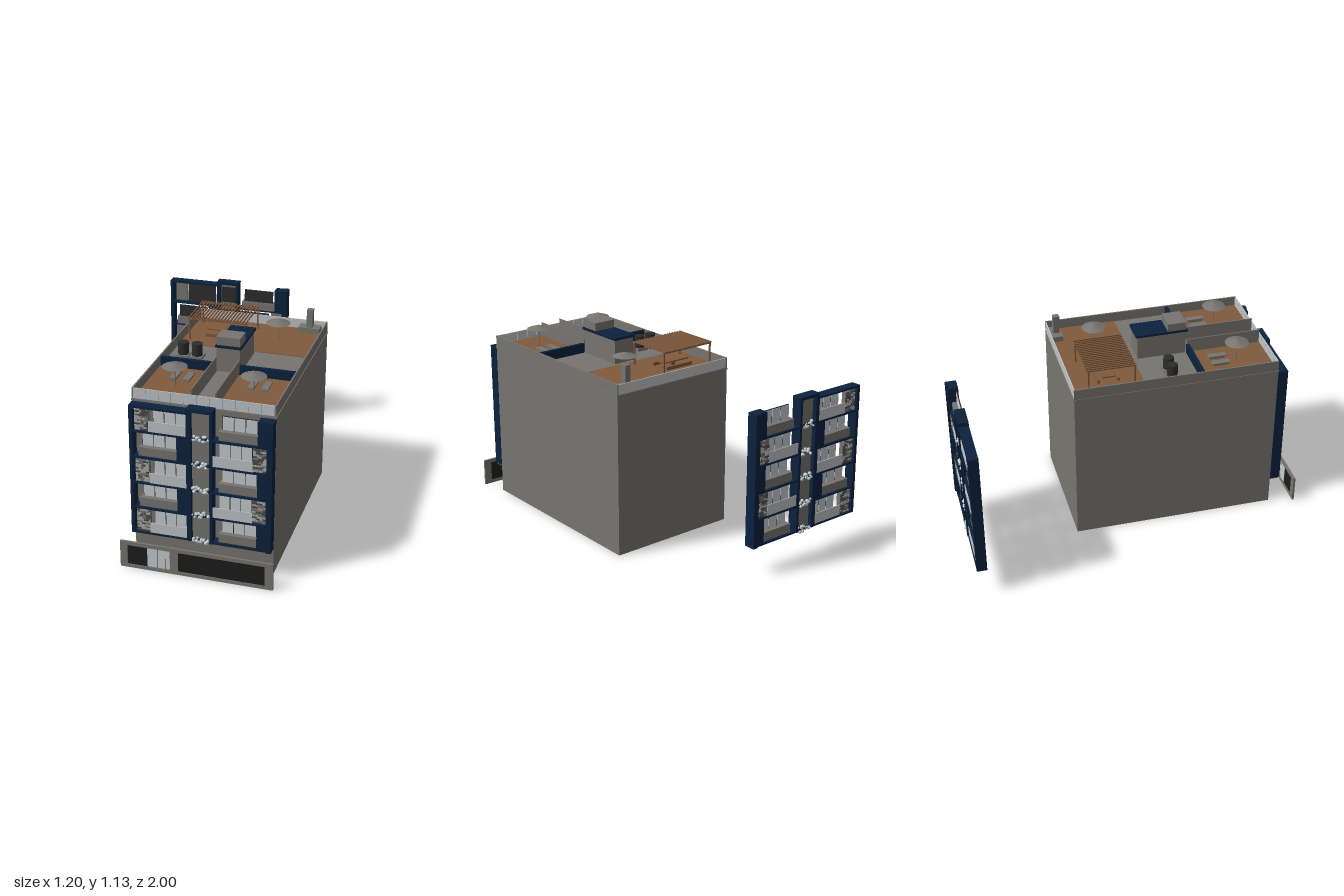
import * as THREE from 'three';

const mat = (name, color, extra = {}) => {
  const m = new THREE.MeshStandardMaterial({ color, ...extra });
  m.name = name;
  return m;
};

export function createModel() {
  const wall = mat('warm grey render', 0x777570);
  const navy = mat('navy frame', 0x0b213d);
  const deck = mat('timber brown', 0x805a3c);
  const pale = mat('pale railing glass', 0xbfc3c6);
  const glass = mat('window glass', 0xc6ccd0);
  const dark = mat('dark window frame', 0x2d2d2d);
  const slat = mat('black slats', 0x1a1a1a);
  const stoneLight = mat('light stone', 0xa3a3a1);
  const stoneDark = mat('dark stone', 0x484846);
  const leaf = mat('white blossom', 0xc2cccf);

  const model = new THREE.Group();
  model.name = 'apartmentBuilding';
  const group = (name, parent = model) => {
    const g = new THREE.Group();
    g.name = name;
    parent.add(g);
    return g;
  };
  const add = (parent, name, geo, m, x, y, z) => {
    const mesh = new THREE.Mesh(geo, m);
    mesh.name = name;
    mesh.position.set(x, y, z);
    parent.add(mesh);
    return mesh;
  };
  // box given by its limits on each axis
  const box = (parent, name, m, x0, x1, y0, y1, z0, z1) =>
    add(parent, name, new THREE.BoxGeometry(x1 - x0, y1 - y0, Math.abs(z1 - z0)), m,
      (x0 + x1) / 2, (y0 + y1) / 2, (z0 + z1) / 2);
  let seed = 7;
  const rnd = () => (seed = (seed * 16807) % 2147483647) / 2147483647;

  // ---- main block and parapet
  const body = group('body');
  box(body, 'block', wall, -0.21, 0.563, 0, 0.935, -0.34, 0.848);
  box(body, 'cornice', wall, -0.213, 0.567, 0.924, 0.932, -0.342, 0.851);
  for (const x of [-0.21, 0.555]) box(body, 'sideParapet', wall, x, x + 0.008, 0.935, 0.994, -0.34, 0.848);
  box(body, 'backParapet', pale, -0.202, 0.555, 0.935, 0.992, -0.34, -0.334);
  const n = 11, pw = 0.757 / n;
  for (let i = 0; i < n; i++)
    box(body, 'frontParapetPanel', pale, -0.202 + i * pw, -0.202 + (i + 1) * pw - 0.002, 0.935, 0.993, 0.842, 0.848);

  // ---- roof terrace
  const roof = group('roofTerrace');
  box(roof, 'backDeck', deck, -0.202, 0.555, 0.935, 0.938, -0.334, 0.08);
  box(roof, 'leftDeck', deck, 0.245, 0.555, 0.935, 0.938, 0.415, 0.842);
  box(roof, 'rightDeck', deck, -0.202, 0.107, 0.935, 0.938, 0.415, 0.842);
  box(roof, 'leftDivider', navy, 0.245, 0.555, 0.935, 0.99, 0.395, 0.415);
  box(roof, 'rightDivider', navy, -0.202, 0.107, 0.935, 0.99, 0.395, 0.415);
  for (const x of [0.107, 0.239]) box(roof, 'corridorWall', wall, x, x + 0.006, 0.935, 1.02, 0.4, 0.84);
  box(roof, 'stairTower', wall, 0.11, 0.242, 0.935, 1.075, 0.105, 0.392);
  box(roof, 'stairTowerRoof', navy, 0.105, 0.25, 1.075, 1.088, 0.095, 0.402);
  box(roof, 'towerTop', wall, 0.11, 0.242, 1.088, 1.135, 0.285, 0.392);
  box(roof, 'chimneyBase', wall, 0.405, 0.53, 0.935, 0.97, -0.332, -0.265);
  box(roof, 'chimney', wall, 0.452, 0.487, 0.97, 1.077, -0.312, -0.275);
  for (const x of [-0.125, -0.045]) {
    box(roof, 'tankBase', wall, x - 0.036, x + 0.036, 0.935, 0.95, 0.21, 0.28);
    add(roof, 'waterTank', new THREE.CylinderGeometry(0.03, 0.03, 0.07, 20), dark, x, 0.985, 0.245);
  }
  // parasols, each front one with a pair of loungers
  for (const [x, z] of [[-0.04, 0.65], [0.39, 0.65], [0.328, -0.1]]) {
    const p = group('parasol', roof);
    add(p, 'canopy', new THREE.ConeGeometry(0.069, 0.023, 20), wall, x, 1.062, z);
    add(p, 'pole', new THREE.CylinderGeometry(0.0025, 0.0025, 0.12, 8), wall, x, 0.995, z);
    if (z > 0) for (const dx of [-0.05, 0.025]) {
      box(p, 'lounger', wall, x + dx, x + dx + 0.037, 0.95, 0.958, 0.495, 0.6);
      box(p, 'loungerBase', wall, x + dx + 0.006, x + dx + 0.031, 0.938, 0.95, 0.505, 0.59);
    }
  }
  // pergola with table and benches
  const pergola = group('pergola', roof);
  for (const z of [-0.25, 0.014]) {
    box(pergola, 'beam', deck, -0.167, 0.172, 1.064, 1.072, z, z + 0.008);
    for (const x of [-0.167, 0.164]) box(pergola, 'post', deck, x, x + 0.008, 0.938, 1.066, z, z + 0.008);
  }
  for (let i = 0; i < 19; i++) {
    const x = -0.167 + i * 0.0185;
    box(pergola, 'slat', deck, x, x + 0.006, 1.071, 1.078, -0.256, 0.024);
  }
  box(pergola, 'table', deck, -0.09, 0.095, 0.968, 0.975, -0.15, -0.08);
  box(pergola, 'tableLeg', deck, -0.01, 0.015, 0.938, 0.968, -0.125, -0.105);
  for (const z of [-0.18, -0.065]) box(pergola, 'bench', deck, -0.09, 0.095, 0.938, 0.957, z, z + 0.015);

  // ---- balcony facade; d is the distance out from the wall side
  const FLOOR = 0.165, STEP = 0.151;
  const facade = (name, xOff, zBase, dir) => {
    const f = group(name);
    const b = (part, m, x0, x1, y0, y1, d0, d1) =>
      box(f, part, m, x0 + xOff, x1 + xOff, y0, y1, zBase + dir * d0, zBase + dir * d1);
    const windowUnit = (x0, x1, y0, y1) => {
      b('windowFrame', dark, x0, x1, y0, y1, 0.008, 0.014);
      const w = (x1 - x0) / 3;
      for (let i = 0; i < 3; i++)
        b('windowPane', glass, x0 + i * w + 0.002, x0 + (i + 1) * w - 0.002, y0 + 0.003, y1 - 0.003, 0.014, 0.016);
    };
    const stonePanel = (x0, x1, y0, y1) => {
      b('stoneBacking', wall, x0, x1, y0, y1, 0.025, 0.05);
      const rows = 13, h = (y1 - y0) / rows;
      for (let r = 0; r < rows; r++) {
        let x = x0;
        while (x < x1 - 0.004) {
          const e = Math.min(x1, x + 0.012 + rnd() * 0.022), k = rnd();
          if (k < 0.75)
            b('stone', k < 0.42 ? stoneLight : stoneDark, x, e - 0.001, y0 + r * h + 0.0008, y0 + (r + 1) * h - 0.0008, 0.05, 0.053);
          x = e;
        }
      }
    };
    const glazedBay = (y, s0, s1, w0, w1, r0, r1) => {
      stonePanel(s0, s1, y + 0.004, y + 0.136);
      windowUnit(w0, w1, y + 0.006, y + 0.129);
      b('glassRailing', pale, r0, r1, y, y + 0.06, 0.048, 0.052);
    };
    const solidBay = (y, x0, x1) => {
      windowUnit(x0 + 0.014, x1 - 0.012, y + 0.048, y + 0.128);
      b('balcony', wall, x0, x1, y, y + 0.05, 0, 0.042);
    };
    // navy uprights and crown
    b('outerPierRight', navy, -0.21, -0.19, FLOOR, 0.92, 0, 0.058);
    b('outerPierLeft', navy, 0.532, 0.563, FLOOR, 0.92, 0, 0.065);
    b('topBand', navy, -0.21, 0.11, 0.908, 0.92, 0, 0.058);
    b('middlePierRight', navy, 0.102, 0.127, FLOOR, 0.942, 0, 0.06);
    b('middlePierLeft', navy, 0.227, 0.243, FLOOR, 0.942, 0, 0.06);
    b('middleCrown', navy, 0.11, 0.243, 0.925, 0.942, 0, 0.061);
    b('middlePanel', wall, 0.127, 0.227, FLOOR, 0.925, 0.02, 0.035);
    for (let i = 0; i < 5; i++) {
      const y = FLOOR + i * STEP, odd = i % 2 === 0;
      b('slabRight', navy, -0.19, 0.102, y, y + 0.01, 0, 0.057);
      b('slabLeft', navy, 0.243, 0.533, y, y + 0.01, 0, 0.057);
      b('stairWindow', dark, 0.13, 0.224, y + 0.035, y + 0.137, 0.017, 0.02);
      b('planter', navy, 0.127, 0.227, y, y + 0.01, 0.035, 0.052);
      for (let k = 0; k < 16; k++) {
        const s = 0.005 + rnd() * 0.006;
        add(f, 'blossom', new THREE.IcosahedronGeometry(s, 1), leaf,
          xOff + 0.133 + rnd() * 0.088, y + (rnd() - 0.25) * 0.033, zBase + dir * (0.046 + rnd() * 0.012));
      }
      const fy = y + 0.01;
      if (odd) {
        glazedBay(fy, -0.18, -0.105, -0.09, 0.092, -0.105, 0.102);
        solidBay(fy, 0.271, 0.483);
        b('pierLeft', navy, 0.483, 0.533, y, i === 4 ? 0.92 : y + STEP, 0, 0.058);
      } else {
        solidBay(fy, -0.165, 0.048);
        b('pierRight', navy, 0.05, 0.104, y, y + STEP, 0, 0.056);
        glazedBay(fy, 0.457, 0.531, 0.268, 0.445, 0.243, 0.457);
      }
    }
    return b;
  };
  const front = facade('frontFacade', 0, 0.85, 1);
  front('deckEdge', deck, -0.21, 0.563, 0.159, 0.165, 0, 0.05);
  facade('backFacade', -0.39, -0.935, -1);

  // ---- street fence with slatted openings and a glazed door
  const fence = group('streetFence');
  const rect = (path, x0, y0, x1, y1) =>
    path.moveTo(x0, y0).lineTo(x1, y0).lineTo(x1, y1).lineTo(x0, y1).closePath();
  const panel = rect(new THREE.Shape(), -0.245, 0, 0.6, 0.158);
  panel.holes.push(rect(new THREE.Path(), -0.204, 0.02, 0.035, 0.136), rect(new THREE.Path(), 0.08, 0.02, 0.555, 0.136));
  add(fence, 'fencePanel', new THREE.ExtrudeGeometry(panel, { depth: 0.012, bevelEnabled: false }), wall, 0, 0, 0.988);
  const louvres = (x0, x1, count, fill) => {
    const h = 0.116 / count;
    for (let i = 0; i < count; i++)
      box(fence, 'louvre', slat, x0, x1, 0.02 + i * h, 0.02 + (i + fill) * h, 0.991, 0.996);
  };
  louvres(-0.204, -0.095, 12, 0.68);
  louvres(0.08, 0.555, 14, 0.8);
  for (let i = 0; i <= 4; i++) {
    const x = 0.08 + i * 0.1175;
    box(fence, 'gatePost', slat, x, x + 0.005, 0.02, 0.136, 0.99, 0.998);
  }
  box(fence, 'doorFrame', dark, -0.095, 0.035, 0.02, 0.136, 0.991, 0.995);
  for (const [x0, x1] of [[-0.093, -0.036], [-0.033, 0.009], [0.011, 0.033]])
    for (const z of [0.9895, 0.995]) box(fence, 'doorPane', glass, x0, x1, 0.022, 0.134, z, z + 0.0015);

  return model;
}
